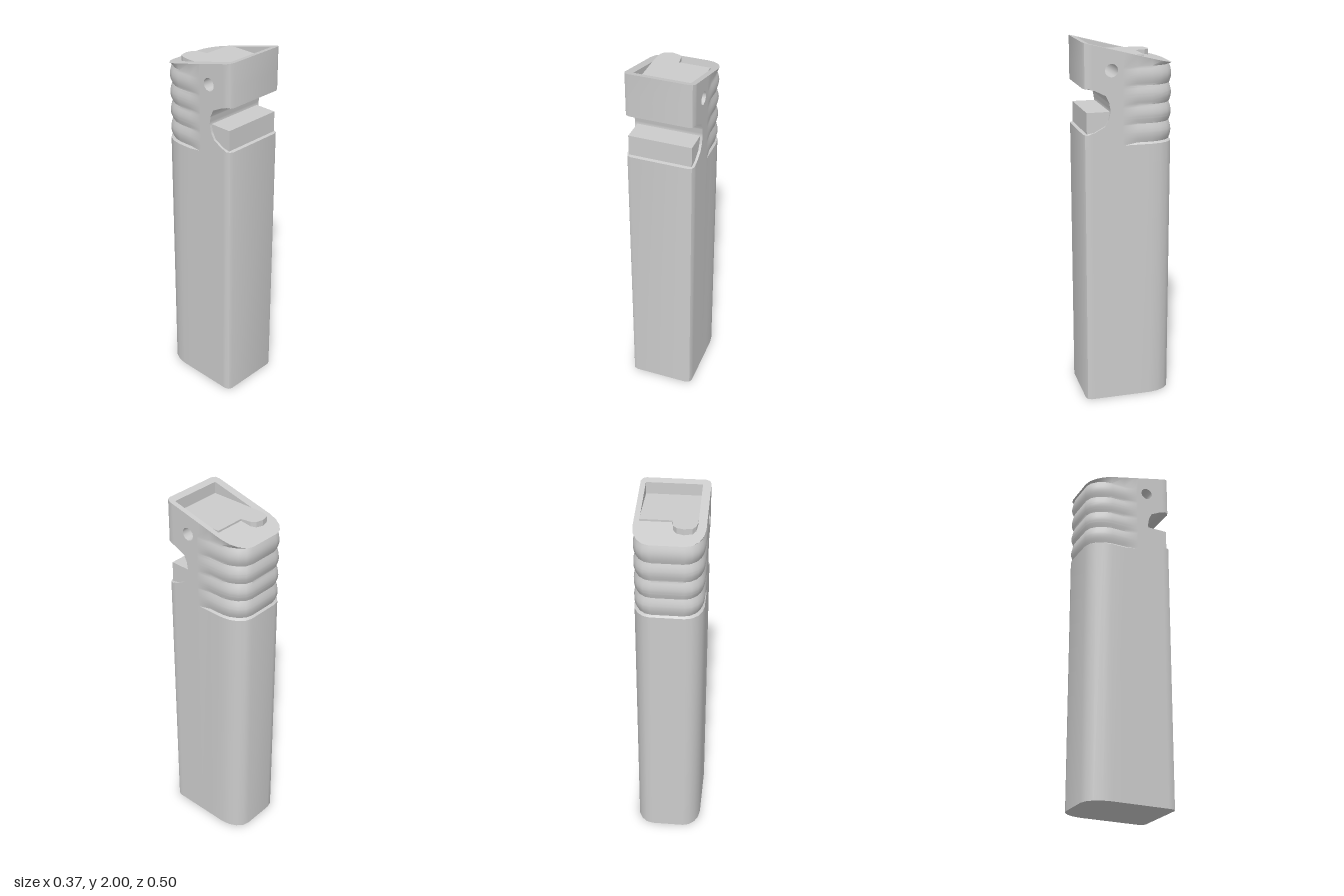
import * as THREE from 'three';
import { toCreasedNormals } from 'three/addons/utils/BufferGeometryUtils.js';

const V2 = (a) => a.map(([x, y]) => new THREE.Vector2(x, y));
const slope = (z) => 1.937 + 0.2525 * z; // slanted top plane
const SIDE = 0.183, LIP = 1.765, FLOOR = 1.92;
const PANEL = [0.2, 0.04]; // z range of the flat head side that holds the bore

// closed outline seen from above: left half front to back, then its mirror
const half = [[0.155, 0.248], [0.174, 0.24], [SIDE, 0.22], [SIDE, PANEL[0]], [SIDE, PANEL[1]], [SIDE, 0.03],
  [SIDE, -0.04], [SIDE, -0.12], [0.175, -0.17], [0.155, -0.21], [0.125, -0.238], [0.09, -0.248]];
const outline = [...half, ...half.map(([x, z]) => [-x, z]).reverse()];

// front cut-out: [y, z depth]
const notch = [[1.525, 0.25], [1.535, 0.19], [1.565, 0.135], [1.6, 0.115], [1.645, 0.105],
  [1.69, 0.113], [1.725, 0.13], [1.755, 0.19], [LIP, 0.25]];
function notchDepth(y) {
  for (let i = 1; i < notch.length; i++) {
    const [y0, z0] = notch[i - 1], [y1, z1] = notch[i];
    if (y >= y0 && y <= y1) return z0 + (z1 - z0) * (y - y0) / (y1 - y0);
  }
  return 1;
}

// shallow grip grooves round the back
function groove(y, z) {
  if (y < 1.465 || y > 1.875) return 0;
  const fade = THREE.MathUtils.clamp((0.03 - z) / 0.06, 0, 1);
  return fade * 0.01 * (1 - Math.abs(Math.sin(Math.PI * (y - 1.47) / 0.1)));
}

// skin a list of closed rings of [x, y, z]; skip(a, b, y) leaves quads out
function loft(rings, skip = () => false) {
  const pos = [];
  for (let j = 0; j + 1 < rings.length; j++) {
    const n = rings[j].length;
    for (let i = 0; i < n; i++) {
      const k = (i + 1) % n;
      if (skip(i, k, rings[j][i][1])) continue;
      const a = rings[j][i], b = rings[j][k], c = rings[j + 1][k], d = rings[j + 1][i];
      pos.push(...a, ...b, ...c, ...a, ...c, ...d);
    }
  }
  const g = new THREE.BufferGeometry();
  g.setAttribute('position', new THREE.Float32BufferAttribute(pos, 3));
  g.computeVertexNormals();
  return g;
}

export function createModel() {
  const group = new THREE.Group();
  const mat = new THREE.MeshStandardMaterial({ color: 0xcccccc });
  const twoSided = new THREE.MeshStandardMaterial({ color: 0xcccccc, side: THREE.DoubleSide });
  const add = (name, geometry, material = mat) => {
    const mesh = new THREE.Mesh(geometry, material);
    mesh.name = name;
    group.add(mesh);
    return mesh;
  };

  // body wall
  const ys = [0, ...notch.map((p) => p[0]), 1.46];
  for (let i = 0; i <= 32; i++) ys.push(1.47 + i * 0.0125);
  ys.sort((a, b) => a - b);
  const rings = ys.map((y) => outline.map(([x, z]) => {
    const d = groove(y, z);
    return [x - Math.sign(x) * d, y, Math.min(z + (z < -0.12 ? d : 0), notchDepth(y))];
  }));
  rings.push(outline.map(([x, z]) => [x, slope(z), z]));
  const isPanel = (i, k, y) => y >= LIP - 1e-6 &&
    outline[i][0] === outline[k][0] &&
    [i, k].every((q) => PANEL.includes(outline[q][1]));
  add('body', toCreasedNormals(loft(rings, isPanel), 0.6));

  // flat head sides with the bore
  for (const s of [1, -1]) {
    const [zf, zb] = PANEL;
    const shape = new THREE.Shape(V2([[zf, LIP], [zf, slope(zf)], [zb, slope(zb)], [zb, LIP]]
      .map(([z, y]) => [-s * z, y])));
    shape.holes.push(new THREE.Path().absarc(-s * 0.1, 1.855, 0.035, 0, Math.PI * 2));
    const g = new THREE.ShapeGeometry(shape, 6);
    g.rotateY(s * Math.PI / 2).translate(s * SIDE, 0, 0);
    add(s > 0 ? 'headSideLeft' : 'headSideRight', g);
  }
  const bore = new THREE.CylinderGeometry(0.035, 0.035, SIDE * 2, 12, 1, true);
  bore.rotateZ(Math.PI / 2).translate(0, 1.855, 0.1);
  add('bore', bore, twoSided);

  // base
  add('base', new THREE.ShapeGeometry(new THREE.Shape(V2(outline))).rotateX(Math.PI / 2));

  // slanted rim round the pocket
  const meet = (FLOOR - 1.937) / 0.2525;
  const pocket = [[-0.14, 0.21], [-0.14, meet], [0.155, meet], [0.155, 0.21]];
  const flip = (pts) => V2(pts.map(([x, z]) => [x, -z]));
  const rimShape = new THREE.Shape(flip(outline));
  rimShape.holes.push(new THREE.Path(flip(pocket)));
  const rim = new THREE.ShapeGeometry(rimShape).rotateX(-Math.PI / 2);
  const p = rim.attributes.position;
  for (let i = 0; i < p.count; i++) p.setY(i, slope(p.getZ(i)));
  rim.computeVertexNormals();
  add('topRim', rim);
  add('pocketWall', loft([
    pocket.map(([x, z]) => [x, FLOOR, z]),
    pocket.map(([x, z]) => [x, slope(z), z]),
  ]), twoSided);

  // level plate with a rounded tab at the back
  const plate = new THREE.Shape(flip([[-0.14, 0.21], [0.155, 0.21], [0.155, -0.08], [-0.012, -0.08],
    [-0.02, -0.135], [-0.038, -0.158], [-0.076, -0.168], [-0.118, -0.158], [-0.134, -0.135], [-0.14, -0.09]]));
  const plateGeo = new THREE.ExtrudeGeometry(plate, { depth: 0.035, bevelEnabled: false });
  add('topPlate', plateGeo.rotateX(-Math.PI / 2).translate(0, 1.892, 0));

  // block standing in the cut-out
  const block = add('notchBlock', new THREE.BoxGeometry(0.34, 0.112, 0.125));
  block.position.set(0, 1.584, 0.1675);

  return group;
}
